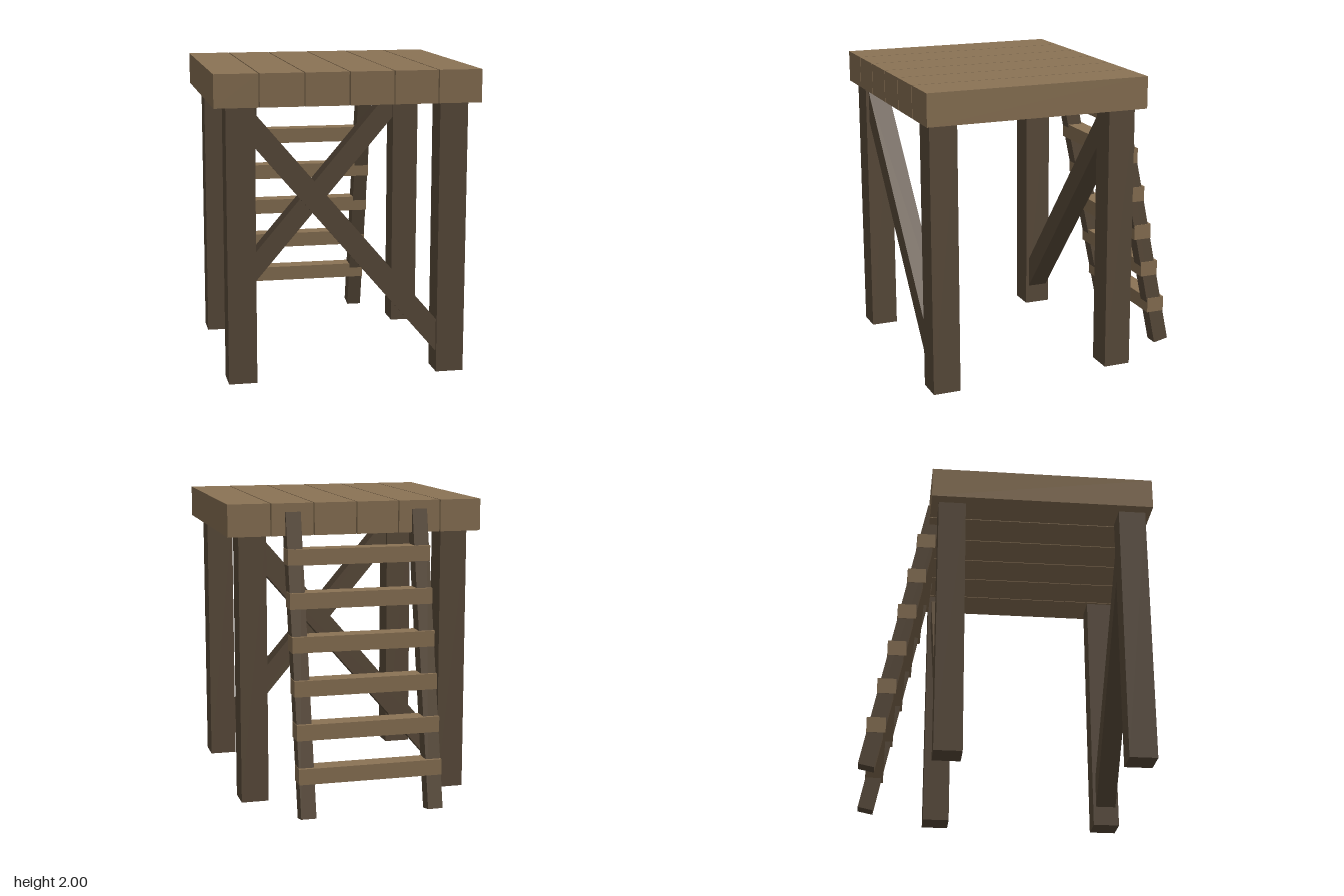
import * as THREE from 'three';

export function createModel() {
  const group = new THREE.Group();
  const plankWood = new THREE.MeshStandardMaterial({ color: 0x8b7355 });
  const beamWood = new THREE.MeshStandardMaterial({ color: 0x5c4d3c });

  const box = (name, material, size, position) => {
    const mesh = new THREE.Mesh(new THREE.BoxGeometry(...size), material);
    mesh.name = name;
    mesh.position.set(...position);
    group.add(mesh);
    return mesh;
  };

  // Deck: six planks with narrow gaps
  const pitch = 0.2845;
  for (let i = 0; i < 6; i++) {
    box('deckPlank', plankWood, [0.277, 0.21, 1.49], [(i - 2.5) * pitch, 1.895, 0.205]);
  }

  // Four square legs, plus one diagonal brace per pair
  const frontZ = 0.82, backZ = -0.4;
  const slope = Math.atan2(1.38, 1.18);
  const braceLength = Math.hypot(1.38, 1.18) + 0.17;
  for (const z of [frontZ, backZ]) {
    for (const side of [-1, 1]) {
      box('leg', beamWood, [0.182, 1.775, 0.182], [side * 0.682, 0.9025, z]);
    }
    const brace = box('diagonalBrace', beamWood, [braceLength, 0.14, 0.14], [0, 0.95, z]);
    brace.rotation.z = z === frontZ ? -slope : slope;
  }

  // Ladder rails leaning into the back edge of the deck
  const lean = Math.atan2(0.4, 1.92);
  for (const side of [-1, 1]) {
    const rail = box('ladderRail', beamWood, [0.1, 1.965, 0.105], [side * 0.425, 0.972, -0.698]);
    rail.rotation.x = lean;
  }

  // Level rungs following the lean
  for (let i = 0; i < 6; i++) {
    box('ladderRung', plankWood, [0.955, 0.104, 0.124], [0, 0.288 + i * 0.274, -0.845 + i * 0.0576]);
  }

  return group;
}
